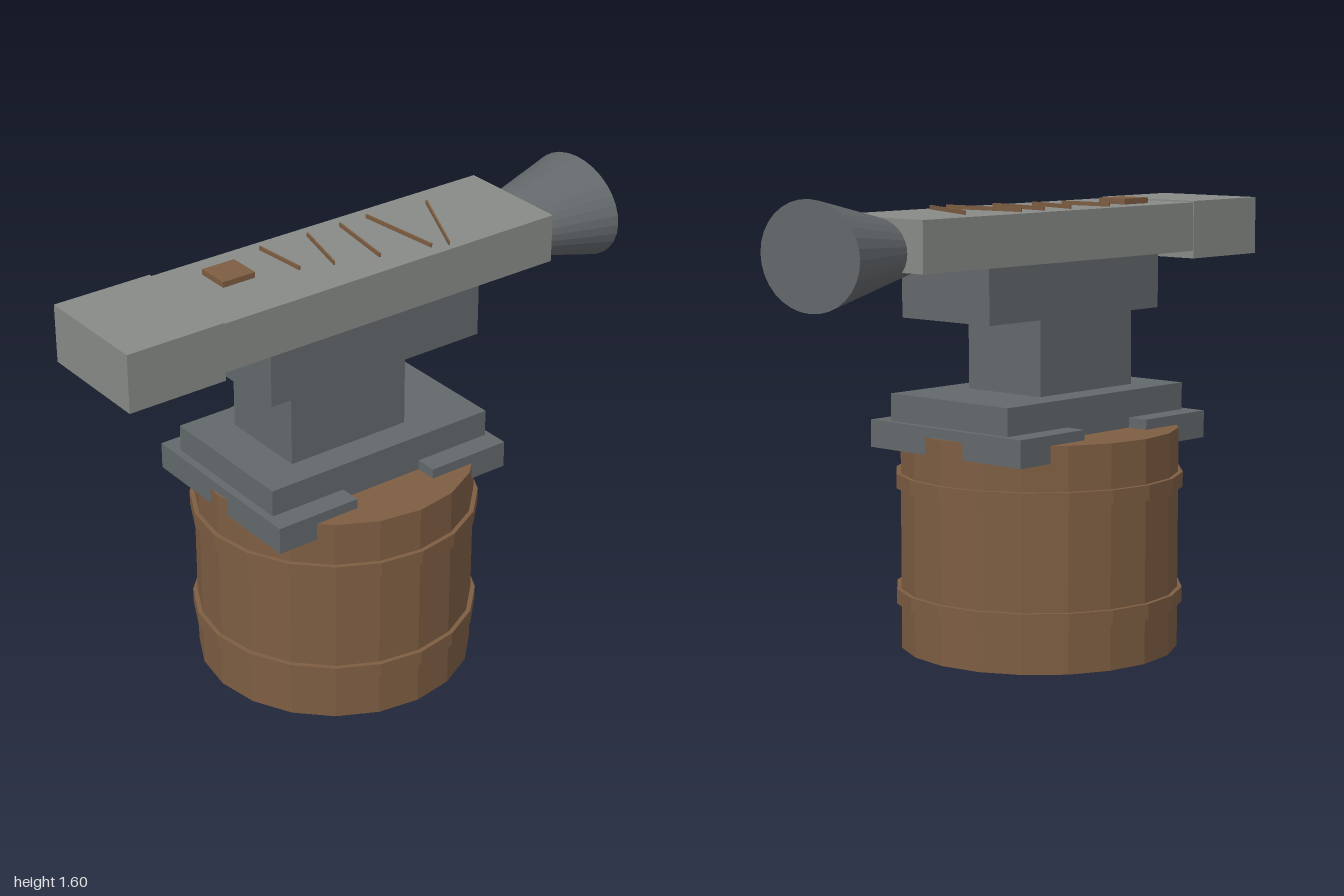
import * as THREE from 'three';

const flat = (name, color) => {
  const m = new THREE.MeshStandardMaterial({ color, flatShading: true });
  m.name = name;
  return m;
};

export function createModel() {
  const wood = flat('brown wood', 0x7d5d42);
  const slate = flat('slate metal', 0x63686b);
  const stone = flat('pale grey', 0x878a87);
  const group = new THREE.Group();

  const add = (name, geometry, material, x, y, z) => {
    const mesh = new THREE.Mesh(geometry, material);
    mesh.name = name;
    mesh.position.set(x, y, z);
    group.add(mesh);
    return mesh;
  };
  // box given by its limits on each axis
  const box = (name, material, [x0, x1], [y0, y1], [z0, z1]) =>
    add(name, new THREE.BoxGeometry(x1 - x0, y1 - y0, z1 - z0), material,
      (x0 + x1) / 2, (y0 + y1) / 2, (z0 + z1) / 2);

  // barrel with two hoops
  const cx = -0.063;
  add('barrel', new THREE.CylinderGeometry(0.485, 0.485, 0.77, 20), wood, cx, 0.385, 0);
  for (const y of [0.184, 0.59]) {
    add('hoop', new THREE.CylinderGeometry(0.501, 0.501, 0.052, 20), wood, cx, y, 0);
  }

  // clamp bars across the barrel top, then the stepped pedestal
  box('clampBar', slate, [-0.54, -0.225], [0.71, 0.805], [-0.35, 0.35]);
  box('clampBar', slate, [0.095, 0.408], [0.71, 0.805], [-0.35, 0.35]);
  box('basePlate', slate, [-0.512, 0.386], [0.765, 0.9], [-0.272, 0.272]);
  box('column', slate, [-0.358, 0.113], [0.9, 1.165], [-0.167, 0.167]);
  box('cradle', slate, [-0.46, 0.398], [1.165, 1.355], [-0.202, 0.202]);

  // long beam with a thicker butt
  box('beam', stone, [-0.66, 0.71], [1.353, 1.525], [-0.211, 0.211]);
  box('butt', stone, [-1, -0.642], [1.326, 1.53], [-0.214, 0.214]);

  // flared oval muzzle growing out of the beam
  const flare = new THREE.CylinderGeometry(1, 0, 0.75, 32);
  flare.rotateZ(-Math.PI / 2).scale(1, 0.18, 0.23);
  add('muzzle', flare, slate, 0.625, 1.415, 0);

  // raised square and slanted strips on top of the beam
  box('topSquare', wood, [-0.5, -0.375], [1.515, 1.545], [-0.12, 0]);
  const strips = [
    [-0.243, -0.163, -0.227, 0.04],
    [-0.056, -0.152, -0.115, 0.078],
    [0.078, -0.152, 0.04, 0.12],
    [0.19, -0.152, 0.222, 0.163],
    [0.425, -0.12, 0.28, 0.184],
  ];
  for (const [x0, z0, x1, z1] of strips) {
    const length = Math.hypot(x1 - x0, z1 - z0);
    const strip = add('topStrip', new THREE.BoxGeometry(0.006, 0.02, length), wood,
      (x0 + x1) / 2, 1.529, (z0 + z1) / 2);
    strip.rotation.y = Math.atan2(x1 - x0, z1 - z0);
  }
  return group;
}
